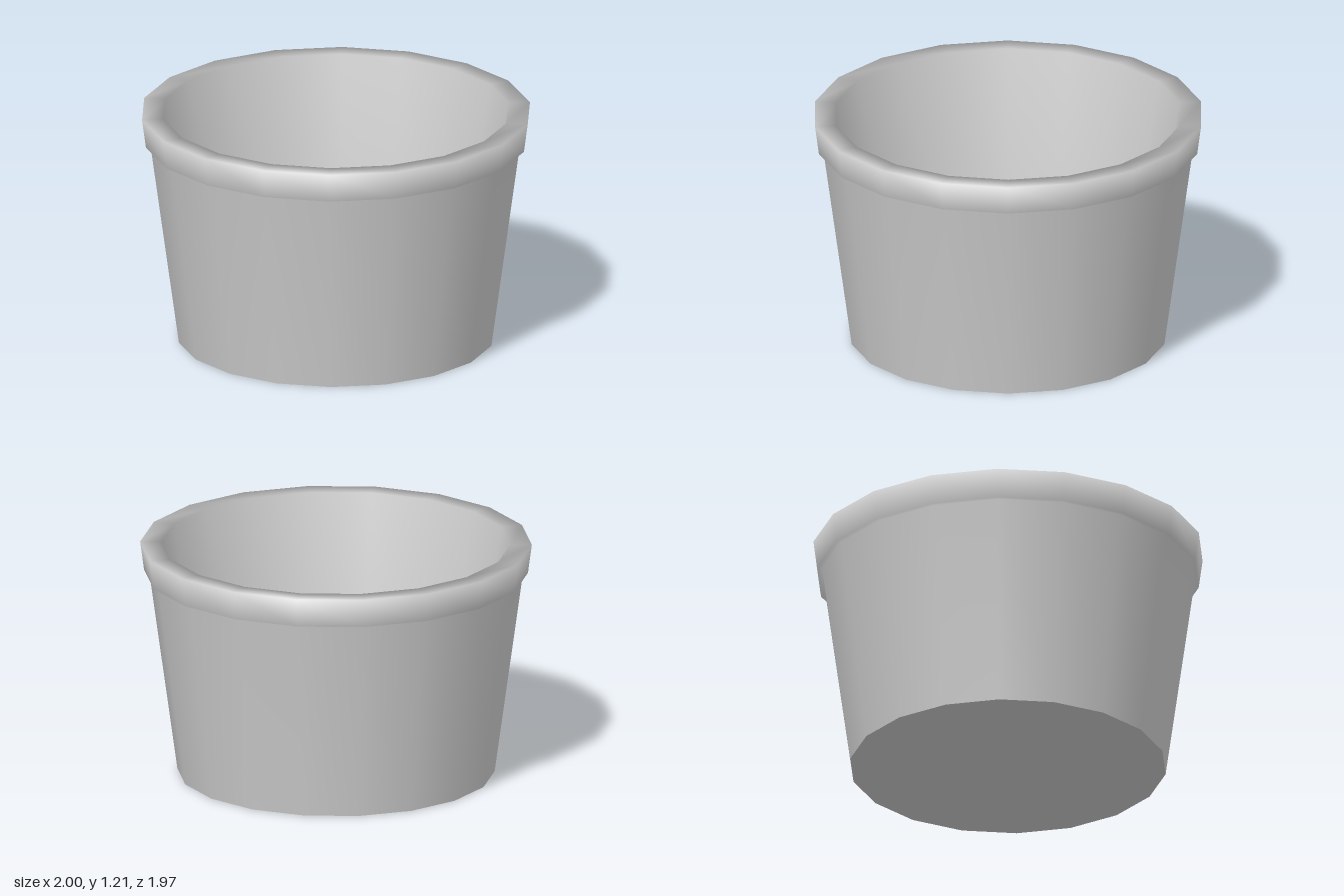
import * as THREE from 'three';

const SIDES = 18;
const FLOOR_Y = 0.1;

export function createModel() {
  const group = new THREE.Group();
  group.name = 'pot';
  const material = new THREE.MeshStandardMaterial({ color: 0xcccccc });

  function addPart(name, geometry) {
    const mesh = new THREE.Mesh(geometry, material);
    mesh.name = name;
    group.add(mesh);
    return mesh;
  }

  // Tapered outer wall, stepped rim and inner wall in one smooth profile
  const profile = [
    [0.81, 0], [0.955, 1.06], [0.98, 1.06], [1, 1.21], [0.89, 1.21], [0.695, FLOOR_Y],
  ].map(([r, y]) => new THREE.Vector2(r, y));
  // Turned so that a corner lies on the x axis
  addPart('wallAndRim', new THREE.LatheGeometry(profile, SIDES).rotateY(Math.PI / 2));

  // Flat inside floor, facing up
  addPart('innerFloor', new THREE.CircleGeometry(0.695, SIDES).rotateX(-Math.PI / 2))
    .position.y = FLOOR_Y;

  // Flat underside, facing down
  addPart('base', new THREE.CircleGeometry(0.81, SIDES).rotateX(Math.PI / 2));

  return group;
}
